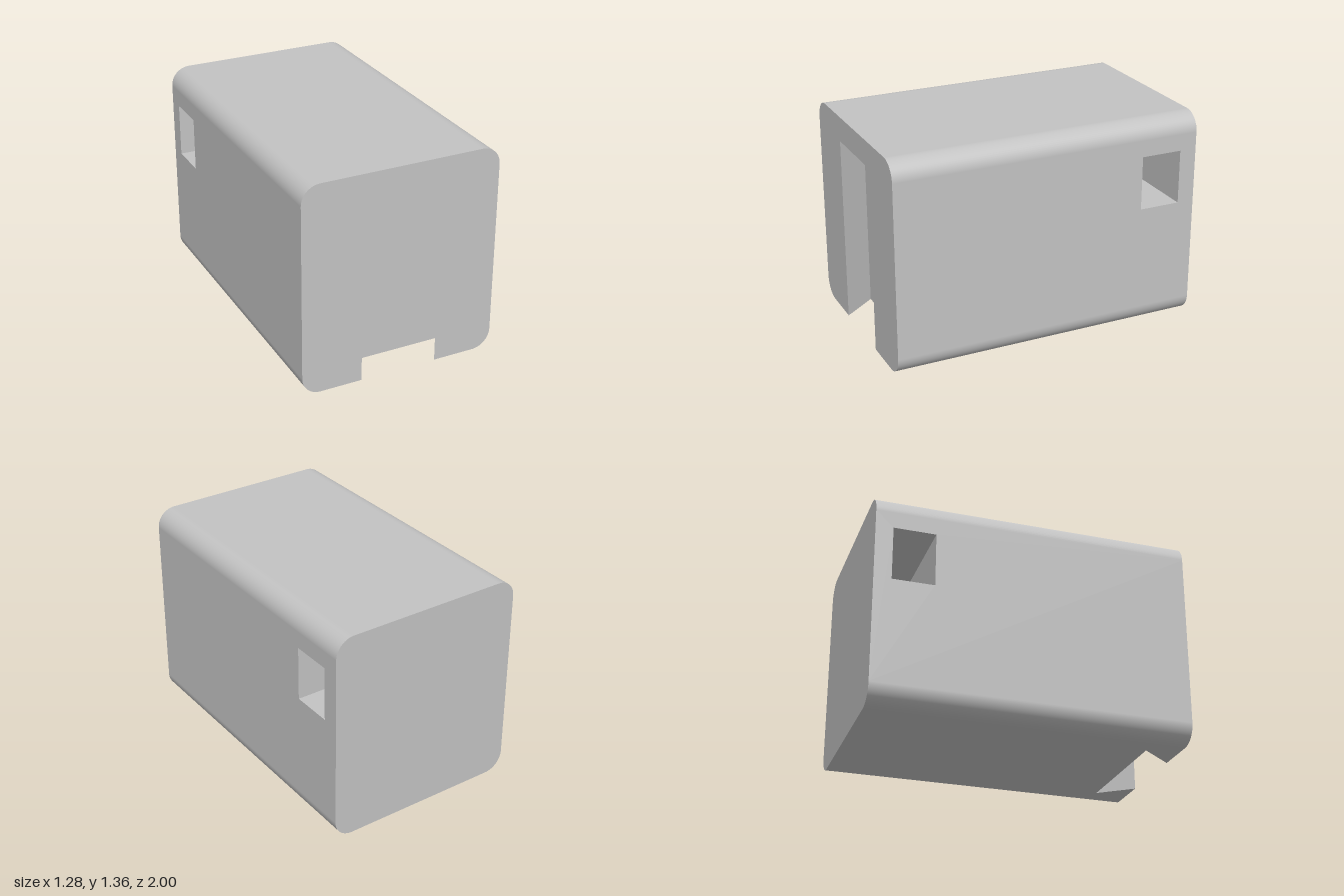
import * as THREE from 'three';

const W = 0.64, H = 1.36, L = 1, R = 0.12;           // half width, height, half length, edge radius
const DOOR = { half: 0.25, inner: 0.41, top: 1.2, depth: 0.21 };
const WIN = { z0: -0.89, z1: -0.625, y0: 0.79, y1: 1.135 };

const grey = new THREE.MeshStandardMaterial({ color: 0xc2c2c2, side: THREE.DoubleSide });
grey.name = 'light grey';

const shapeOf = (pts) => new THREE.Shape(pts.map(([x, y]) => new THREE.Vector2(x, y)));

// Rounded end outline, optionally with the doorway notch cut from its bottom edge
function endShape(withDoor) {
  const s = new THREE.Shape();
  s.moveTo(-W + R, 0);
  if (withDoor) {
    s.lineTo(-DOOR.half, 0);
    s.lineTo(-DOOR.half, DOOR.top);
    s.lineTo(DOOR.half, DOOR.top);
    s.lineTo(DOOR.half, 0);
  }
  s.lineTo(W - R, 0);
  s.absarc(W - R, R, R, -Math.PI / 2, 0);
  s.lineTo(W, H - R);
  s.absarc(W - R, H - R, R, 0, Math.PI / 2);
  s.lineTo(-W + R, H);
  s.absarc(-W + R, H - R, R, Math.PI / 2, Math.PI);
  s.lineTo(-W, R);
  s.absarc(-W + R, R, R, Math.PI, Math.PI * 1.5);
  return s;
}

// Flat-faced wall: a chain of 3D points swept along an offset
function sweep(points, [dx, dy, dz]) {
  const pos = [];
  for (let i = 0; i < points.length - 1; i++) {
    const a = points[i], b = points[i + 1];
    const c = [b[0] + dx, b[1] + dy, b[2] + dz], d = [a[0] + dx, a[1] + dy, a[2] + dz];
    pos.push(...a, ...b, ...c, ...a, ...c, ...d);
  }
  const g = new THREE.BufferGeometry();
  g.setAttribute('position', new THREE.Float32BufferAttribute(pos, 3));
  g.computeVertexNormals();
  return g;
}

export function createModel() {
  const group = new THREE.Group();
  group.name = 'cabin block';
  const add = (name, geometry) => {
    const mesh = new THREE.Mesh(geometry, grey);
    mesh.name = name;
    group.add(mesh);
  };

  // Ends
  add('frontWall', new THREE.ShapeGeometry(endShape(true), 24).translate(0, 0, L));
  add('backWall', new THREE.ShapeGeometry(endShape(false), 24).rotateY(Math.PI).translate(0, 0, -L));

  // Roof
  add('roof', new THREE.PlaneGeometry(2 * (W - R), 2 * L).rotateX(-Math.PI / 2).translate(0, H, 0));

  // Underside with the flared doorway notch
  const zIn = L - DOOR.depth;
  const base = shapeOf([
    [-W + R, -L], [W - R, -L], [W - R, L], [DOOR.half, L], [DOOR.inner, zIn],
    [-DOOR.inner, zIn], [-DOOR.half, L], [-W + R, L],
  ]);
  add('underside', new THREE.ShapeGeometry(base).rotateX(Math.PI / 2));

  // Side walls with a window hole, and the rounded long edges
  for (const side of [1, -1]) {
    const wall = shapeOf([[-L, R], [L, R], [L, H - R], [-L, H - R]]);
    wall.holes.push(shapeOf([[WIN.z0, WIN.y0], [WIN.z0, WIN.y1], [WIN.z1, WIN.y1], [WIN.z1, WIN.y0]]));
    const g = new THREE.ShapeGeometry(wall);
    // Mirror the plan for the left wall so that both face outward
    if (side > 0) g.scale(-1, 1, 1).rotateY(Math.PI / 2);
    else g.rotateY(-Math.PI / 2);
    if (side > 0) g.index.array.reverse();
    g.computeVertexNormals();
    add(side > 0 ? 'leftWall' : 'rightWall', g.translate(side * W, 0, 0));

    for (const up of [true, false]) {
      // Quarter cylinder along z; its angle starts at the top and runs toward +x
      const start = side > 0 ? (up ? Math.PI / 2 : 0) : (up ? Math.PI : Math.PI * 1.5);
      const edge = new THREE.CylinderGeometry(R, R, 2 * L, 16, 1, true, start, Math.PI / 2);
      edge.rotateX(Math.PI / 2);
      edge.translate(side * (W - R), up ? H - R : R, 0);
      add((up ? 'roof' : 'base') + 'Edge', edge);
    }
  }

  // Doorway recess: flared jambs, back panel and ceiling
  const plan = [[-DOOR.half, 0, L], [-DOOR.inner, 0, zIn], [DOOR.inner, 0, zIn], [DOOR.half, 0, L]];
  add('doorRecess', sweep(plan, [0, DOOR.top, 0]));
  const ceiling = shapeOf(plan.map(([x, , z]) => [x, z]));
  add('doorCeiling', new THREE.ShapeGeometry(ceiling).rotateX(Math.PI / 2).translate(0, DOOR.top, 0));

  // Window passage running through both side walls
  const frame = [[WIN.z0, WIN.y0], [WIN.z1, WIN.y0], [WIN.z1, WIN.y1], [WIN.z0, WIN.y1], [WIN.z0, WIN.y0]];
  add('windowPassage', sweep(frame.map(([z, y]) => [-W, y, z]), [2 * W, 0, 0]));

  return group;
}
